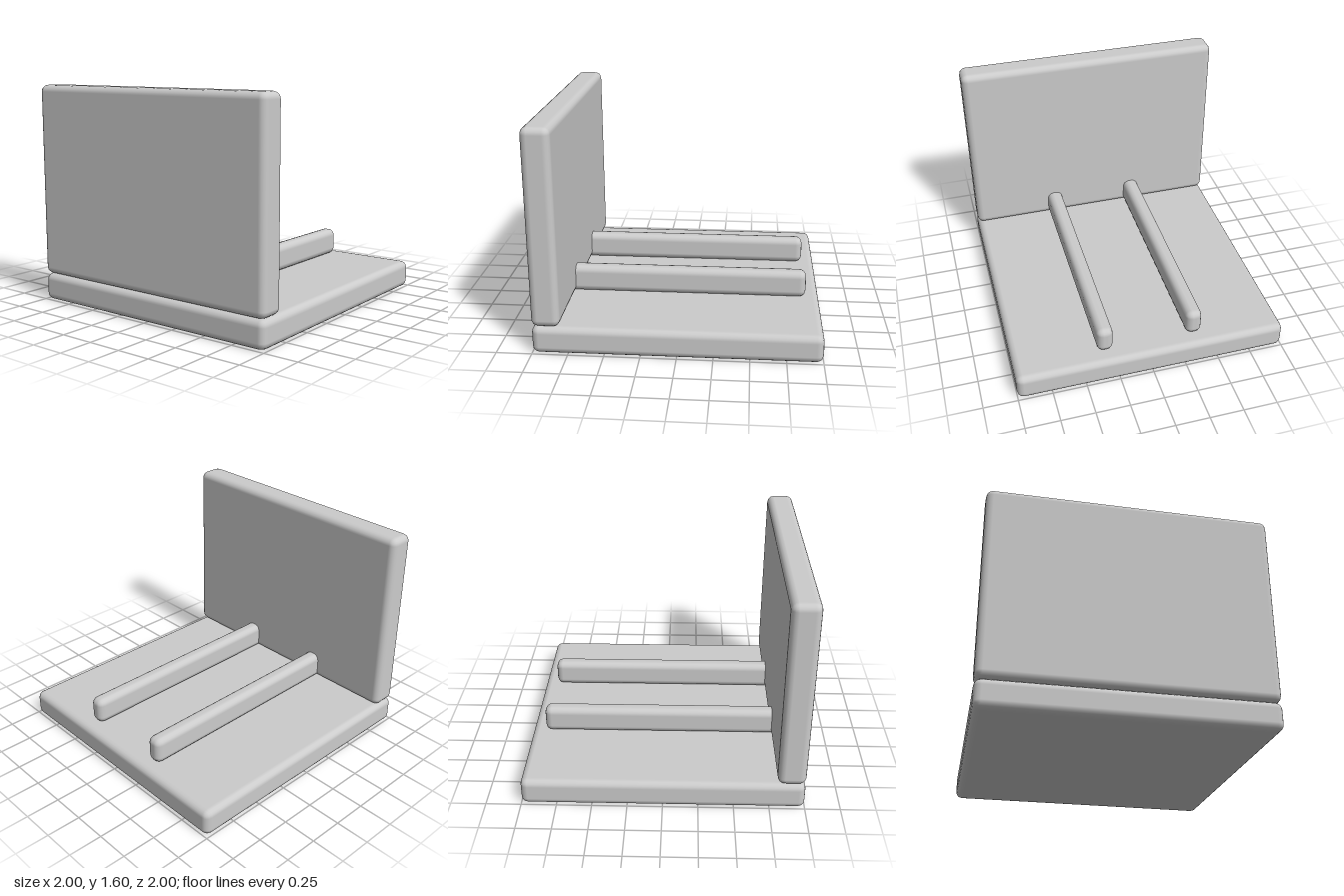
import * as THREE from 'three';
import { RoundedBoxGeometry } from 'three/addons/geometries/RoundedBoxGeometry.js';

const material = new THREE.MeshStandardMaterial({ color: 0xcccccc });
const RADIUS = 0.05;

// Softly rounded slab with few bevel steps
function slab(name, width, height, depth, x, y, z) {
  const mesh = new THREE.Mesh(new RoundedBoxGeometry(width, height, depth, 2, RADIUS), material);
  mesh.name = name;
  mesh.position.set(x, y, z);
  return mesh;
}

export function createModel() {
  const group = new THREE.Group();
  group.name = 'panelWithRails';

  // Base plate and the upright panel standing on its front edge
  group.add(slab('basePlate', 2, 0.2, 2, 0, 0.1, 0));
  group.add(slab('frontPanel', 2, 1.4, 0.2, 0, 0.9, 0.9));

  // Two rails running back from inside the panel
  for (const [name, side] of [['leftRail', 1], ['rightRail', -1]]) {
    group.add(slab(name, 0.12, 0.2, 1.8, side * 0.333, 0.3, 0));
  }
  return group;
}
